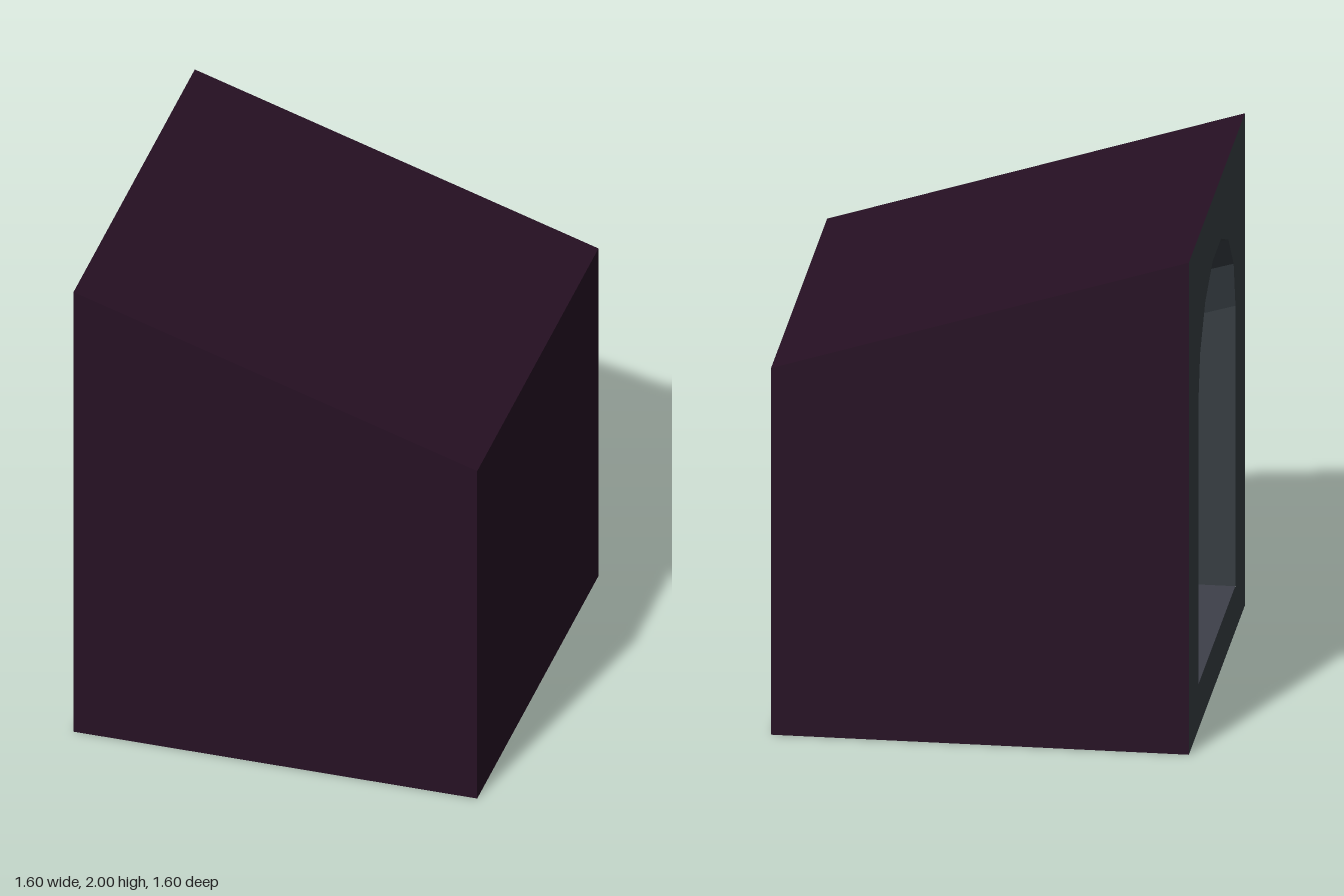
import * as THREE from 'three';

const H = 0.8;                       // half of the square footprint
const HIGH = 2, LOW = 1.49;          // roof heights at -x and +x
const FLOOR = 0.18, SPRING = 1.32;   // doorway sill and arch spring
const HALF_W = 0.53, RISE = 0.44;    // arch half width and height
const END = 0.65, SLOPE = 0.3;       // tunnel end, ceiling fall per unit x
const TREAD = 0.143, RISER = 0.1;

export function createModel() {
  const group = new THREE.Group();
  const purple = new THREE.MeshStandardMaterial({ color: 0x261023 });
  purple.name = 'dark plum';
  const stone = new THREE.MeshStandardMaterial({ color: 0x363d42 });
  stone.name = 'slate grey';
  const stair = new THREE.MeshStandardMaterial({ color: 0x3d4049 });
  stair.name = 'stair grey';

  const add = (name, geometry, material, parent = group) => {
    const mesh = new THREE.Mesh(geometry, material);
    mesh.name = name;
    parent.add(mesh);
    return mesh;
  };

  // Flat quads with corners counter-clockwise seen from the front
  const quads = (list) => {
    const pos = [];
    for (const [a, b, c, d] of list) pos.push(...a, ...b, ...c, ...a, ...c, ...d);
    const g = new THREE.BufferGeometry();
    g.setAttribute('position', new THREE.Float32BufferAttribute(pos, 3));
    g.computeVertexNormals();
    return g;
  };

  // Outer shell
  const corner = (x, top, z) => [x * H, top ? (x < 0 ? HIGH : LOW) : 0, z * H];
  const shell = {
    frontWall: [corner(-1, 0, 1), corner(1, 0, 1), corner(1, 1, 1), corner(-1, 1, 1)],
    backWall: [corner(1, 0, -1), corner(-1, 0, -1), corner(-1, 1, -1), corner(1, 1, -1)],
    lowSideWall: [corner(1, 0, 1), corner(1, 0, -1), corner(1, 1, -1), corner(1, 1, 1)],
    slopedRoof: [corner(-1, 1, 1), corner(1, 1, 1), corner(1, 1, -1), corner(-1, 1, -1)],
  };
  for (const [name, q] of Object.entries(shell)) add(name, quads([q]), purple);
  add('underside', quads([[corner(-1, 0, -1), corner(1, 0, -1), corner(1, 0, 1), corner(-1, 0, 1)]]), stone);

  // Doorway outline as [z, y], with a seven-sided arch
  const arch = [[-HALF_W, FLOOR]];
  for (let i = 0; i <= 7; i++) {
    const a = Math.PI * (1 - i / 7);
    arch.push([HALF_W * Math.cos(a), SPRING + RISE * Math.sin(a)]);
  }
  arch.push([HALF_W, FLOOR]);

  // Side wall pierced by the doorway
  const toPoints = (list) => list.map(([u, v]) => new THREE.Vector2(u, v));
  const wall = new THREE.Shape(toPoints([[-H, 0], [H, 0], [H, HIGH], [-H, HIGH]]));
  wall.holes.push(new THREE.Path(toPoints(arch)));
  const face = new THREE.ShapeGeometry(wall);
  face.rotateY(-Math.PI / 2);
  face.translate(-H, 0, 0);
  add('doorwayWall', face, stone);

  // Vaulted passage whose ceiling falls with the roof
  const near = ([z, y]) => [-H, y, z];
  const far = ([z, y]) => [END, y > FLOOR ? y - SLOPE * (END + H) : y, z];
  const vault = [];
  for (let i = 0; i < arch.length - 1; i++) {
    const a = arch[i], b = arch[i + 1];
    vault.push([near(a), far(a), far(b), near(b)]);
  }
  add('vaultedPassage', quads(vault), stone);
  const endWall = new THREE.PlaneGeometry(2 * HALF_W, 1.2);
  endWall.rotateY(-Math.PI / 2);
  endWall.translate(END, FLOOR + 0.6, 0);
  add('passageEnd', endWall, stone);

  // Steps climbing inward
  const stairs = new THREE.Group();
  stairs.name = 'staircase';
  group.add(stairs);
  for (let k = 0; k < 10; k++) {
    const x0 = -H + TREAD * k + (k ? 0 : 0.001);
    const box = new THREE.BoxGeometry(END - x0, RISER, 2 * HALF_W);
    add(`step${k + 1}`, box, stair, stairs)
      .position.set((x0 + END) / 2, FLOOR + RISER * (k - 0.5), 0);
  }
  return group;
}
